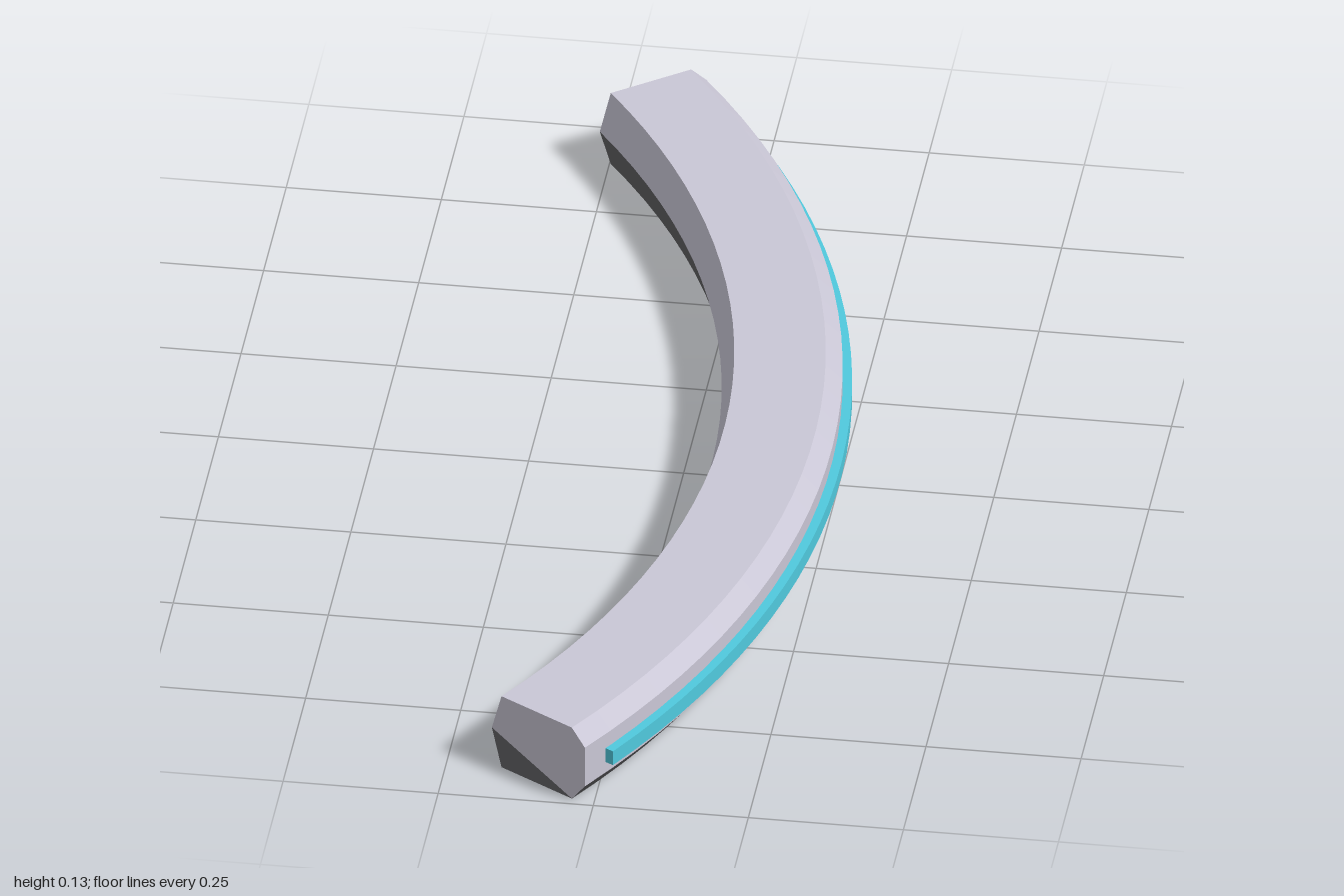
import * as THREE from 'three';

// Centre of the arc in plan, and the outer wall's radius
const CX = -1.528, CZ = 0.0705, R = 1.776;
const rad = THREE.MathUtils.degToRad;

// Sweeps a convex counter-clockwise profile of [radius, height] along the arc and caps both ends.
// slots gives the material index of the face that starts at each profile point;
// the cap triangle on that edge takes the same index.
function sweepArc(profile, slots, startDeg, endDeg, segments) {
  const n = profile.length;
  const faces = [[], []];
  const point = (j, i) => {
    const [r, y] = profile[j % n];
    const a = rad(startDeg + (endDeg - startDeg) * i / segments);
    return [CX + r * Math.cos(a), y, CZ + r * Math.sin(a)];
  };
  const tri = (slot, a, b, c) => faces[slot].push(...a, ...b, ...c);
  for (let j = 0; j < n; j++) {
    for (let i = 0; i < segments; i++) {
      tri(slots[j], point(j, i), point(j + 1, i), point(j + 1, i + 1));
      tri(slots[j], point(j, i), point(j + 1, i + 1), point(j, i + 1));
    }
  }
  for (let j = 1; j < n - 1; j++) {
    tri(slots[j], point(0, segments), point(j, segments), point(j + 1, segments));
    tri(slots[j], point(0, 0), point(j + 1, 0), point(j, 0));
  }
  const geometry = new THREE.BufferGeometry();
  geometry.setAttribute('position', new THREE.Float32BufferAttribute(faces.flat(), 3));
  geometry.addGroup(0, faces[0].length / 3, 0);
  geometry.addGroup(faces[0].length / 3, faces[1].length / 3, 1);
  geometry.computeVertexNormals();
  return geometry;
}

function makeMaterial(name, color) {
  const material = new THREE.MeshStandardMaterial({ color });
  material.name = name;
  return material;
}

export function createModel() {
  const group = new THREE.Group();
  group.name = 'curvedRail';

  const shellGrey = makeMaterial('shellGrey', 0xcac7d6);
  const undersideGrey = makeMaterial('undersideGrey', 0x646467);
  const stripCyan = makeMaterial('stripCyan', 0x50cade);

  const add = (name, geometry, materials) => {
    const mesh = new THREE.Mesh(geometry, materials);
    mesh.name = name;
    group.add(mesh);
  };

  // Curved beam: chamfered outer wall, ridge along the inner side, dark lower faces
  const beamProfile = [
    [R - 0.027, 0], [R, 0.034], [R, 0.107], [R - 0.027, 0.134],
    [R - 0.173, 0.134], [R - 0.193, 0.067], [R - 0.173, 0],
  ];
  const beamSlots = [1, 0, 0, 0, 0, 1, 1];
  add('beam', sweepArc(beamProfile, beamSlots, -37, 31.5, 32), [shellGrey, undersideGrey]);

  // Raised strip along the outer wall
  const stripProfile = [
    [R - 0.004, 0.054], [R + 0.015, 0.054], [R + 0.015, 0.08], [R - 0.004, 0.08],
  ];
  add('outerStrip', sweepArc(stripProfile, [0, 0, 0, 0], -35.15, 29.8, 32), [stripCyan, stripCyan]);

  return group;
}
